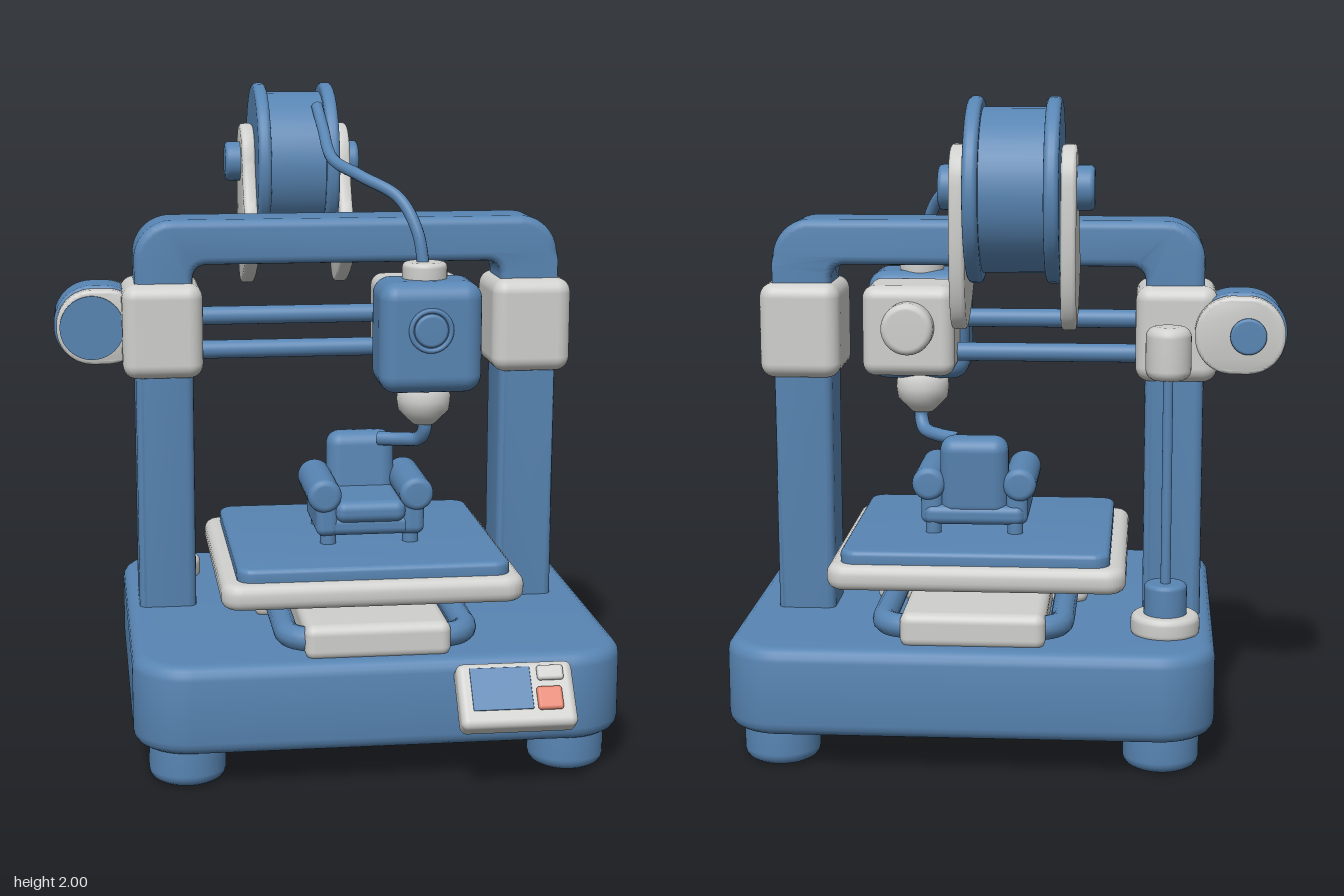
import * as THREE from 'three';
import { toCreasedNormals } from 'three/addons/utils/BufferGeometryUtils.js';
import { RoundedBoxGeometry } from 'three/addons/geometries/RoundedBoxGeometry.js';

export function createModel() {
  const root = new THREE.Group();
  root.name = 'desktopPrinter';
  const mat = (name, color) => Object.assign(new THREE.MeshStandardMaterial({ color }), { name });
  const blue = mat('blue', 0x5885b3);
  const grey = mat('lightGrey', 0xcfcfcd);
  const red = mat('coral', 0xe58672);

  const add = (name, geo, material, x = 0, y = 0, z = 0, parent = root) => {
    const m = new THREE.Mesh(geo, material);
    m.name = name;
    m.position.set(x, y, z);
    parent.add(m);
    return m;
  };
  // rounded box given by its extents on each axis
  const box = (name, material, [x0, x1], [y0, y1], [z0, z1], r, parent = root) =>
    add(name, new RoundedBoxGeometry(x1 - x0, y1 - y0, z1 - z0, 4, r), material,
      (x0 + x1) / 2, (y0 + y1) / 2, (z0 + z1) / 2, parent);
  // extrusion along z from 0 to depth with a bevel kept inside the outline
  const extrude = (shape, depth, bevel) => toCreasedNormals(new THREE.ExtrudeGeometry(shape, {
    depth: depth - 2 * bevel, bevelEnabled: true, bevelThickness: bevel, bevelSize: bevel,
    bevelOffset: -bevel, bevelSegments: 4, curveSegments: 14,
  }).translate(0, 0, bevel), 0.7);
  const roundRect = (x0, x1, y0, y1, r) => {
    const s = new THREE.Shape();
    s.absarc(x1 - r, y1 - r, r, 0, Math.PI / 2);
    s.absarc(x0 + r, y1 - r, r, Math.PI / 2, Math.PI);
    s.absarc(x0 + r, y0 + r, r, Math.PI, Math.PI * 1.5);
    s.absarc(x1 - r, y0 + r, r, Math.PI * 1.5, Math.PI * 2);
    s.closePath();
    return s;
  };
  // flat slab lying in the xz plane
  const slab = (name, material, x, [y0, y1], z, r, bevel) =>
    add(name, extrude(roundRect(x[0], x[1], -z[1], -z[0], r), y1 - y0, bevel).rotateX(-Math.PI / 2),
      material, 0, y0, 0);
  // turned solid with softened rims along y, x or z
  const disc = (name, material, r, len, pos, axis = 'y', b = 0.015, parent = root) => {
    const h = len / 2, pts = [new THREE.Vector2(0, -h)];
    for (let i = 0; i <= 4; i++) {
      const a = i / 4 * Math.PI / 2;
      pts.push(new THREE.Vector2(r - b + b * Math.sin(a), -h + b - b * Math.cos(a)));
    }
    for (let i = 0; i <= 4; i++) {
      const a = i / 4 * Math.PI / 2;
      pts.push(new THREE.Vector2(r - b + b * Math.cos(a), h - b + b * Math.sin(a)));
    }
    pts.push(new THREE.Vector2(0, h));
    const g = new THREE.LatheGeometry(pts, 40);
    if (axis === 'x') g.rotateZ(-Math.PI / 2);
    if (axis === 'z') g.rotateX(Math.PI / 2);
    return add(name, g, material, ...pos, parent);
  };
  const tube = (name, material, pts, r, closed = false, n = 60) =>
    add(name, new THREE.TubeGeometry(
      new THREE.CatmullRomCurve3(pts.map(p => new THREE.Vector3(...p)), closed), n, r, 12, closed), material);

  // base and feet
  slab('base', blue, [-0.63, 0.84], [0.11, 0.38], [-0.63, 0.67], 0.17, 0.04);
  for (const x of [-0.47, 0.68]) for (const z of [0.52, -0.465])
    disc('foot', blue, 0.115, 0.15, [x, 0.075, z], 'y', 0.035);

  // gantry: one arch with rounded shoulders
  const arch = new THREE.Shape();
  arch.moveTo(-0.59, 0.34);
  arch.lineTo(-0.41, 0.34);
  arch.lineTo(-0.41, 1.42);
  arch.quadraticCurveTo(-0.41, 1.47, -0.36, 1.47);
  arch.lineTo(0.51, 1.47);
  arch.quadraticCurveTo(0.56, 1.47, 0.56, 1.42);
  arch.lineTo(0.56, 0.34);
  arch.lineTo(0.74, 0.34);
  arch.lineTo(0.74, 1.5);
  arch.absarc(0.62, 1.49, 0.12, 0, Math.PI / 2);
  arch.absarc(-0.47, 1.49, 0.12, Math.PI / 2, Math.PI);
  arch.closePath();
  add('gantry', extrude(arch, 0.21, 0.025), blue, 0, 0, -0.17);
  for (const [x0, x1] of [[-0.63, -0.38], [0.53, 0.78]])
    box('postClamp', grey, [x0, x1], [1.12, 1.415], [-0.21, 0.085], 0.045);
  for (const y of [1.298, 1.19])
    disc('slideRod', blue, 0.029, 0.72, [-0.08, y, -0.065], 'x', 0.005);

  // bed with its sliding carriage and rails
  slab('bedFrame', grey, [-0.36, 0.56], [0.49, 0.57], [-0.375, 0.495], 0.06, 0.03);
  slab('bedPlate', blue, [-0.31, 0.52], [0.55, 0.61], [-0.345, 0.46], 0.05, 0.015);
  box('bedTrack', grey, [-0.125, 0.31], [0.37, 0.477], [-0.56, 0.62], 0.03);
  box('bedCarriage', grey, [-0.235, 0.44], [0.37, 0.5], [-0.05, 0.17], 0.03);
  const rail = roundRect(-0.17, 0.37, -0.505, 0.57, 0.09).getSpacedPoints(70).slice(0, -1);
  tube('bedRail', blue, rail.map(p => [p.x, 0.425, p.y]), 0.037, true, 140);

  // print head
  box('headMount', grey, [0.175, 0.46], [1.13, 1.41], [-0.21, 0.04], 0.04);
  disc('mountKnob', grey, 0.08, 0.1, [0.315, 1.285, -0.22], 'z', 0.02);
  box('printHead', blue, [0.15, 0.47], [1.085, 1.43], [0, 0.237], 0.055);
  add('lensRing', new THREE.TorusGeometry(0.062, 0.008, 10, 40), blue, 0.305, 1.285, 0.237);
  disc('lens', blue, 0.052, 0.03, [0.305, 1.285, 0.232], 'z', 0.01);
  disc('headCollar', grey, 0.07, 0.07, [0.305, 1.445, 0.1], 'y', 0.015);
  add('nozzle', new THREE.LatheGeometry([[0, 0.965], [0.035, 0.97], [0.055, 0.99], [0.08, 1.015],
    [0.085, 1.05], [0.08, 1.1], [0, 1.1]].map(p => new THREE.Vector2(...p)), 32), grey, 0.305, 0, 0.1);
  tube('extrudedStrand', blue, [[0.305, 1.0, 0.1], [0.31, 0.95, 0.095], [0.295, 0.915, 0.07],
    [0.25, 0.905, 0.03], [0.18, 0.9, -0.01]], 0.022);

  // printed armchair
  const chair = new THREE.Group();
  chair.name = 'armchair';
  chair.position.set(0.125, 0, 0);
  root.add(chair);
  box('chairBase', blue, [-0.16, 0.16], [0.637, 0.7], [-0.1, 0.205], 0.025, chair);
  box('chairCushion', blue, [-0.11, 0.11], [0.68, 0.75], [-0.05, 0.225], 0.03, chair);
  box('chairBack', blue, [-0.108, 0.108], [0.66, 0.92], [-0.105, 0.0], 0.045, chair).rotation.x = -0.08;
  for (const s of [-1, 1]) {
    box('chairArm', blue, s < 0 ? [-0.17, -0.1] : [0.1, 0.17], [0.637, 0.79], [-0.09, 0.21], 0.025, chair);
    disc('chairArmRoll', blue, 0.053, 0.32, [s * 0.144, 0.768, 0.06], 'z', 0.02, chair);
    for (const z of [-0.07, 0.17])
      disc('chairLeg', blue, 0.025, 0.05, [s * 0.13, 0.625, z], 'y', 0.008, chair);
  }

  // side motor
  const motor = (name, material, z, depth, inset) => add(name, extrude(
    roundRect(-0.84 + inset, -0.56, 1.15 + inset, 1.4 - inset, 0.12 - inset), depth, 0.012), material, 0, 0, z);
  motor('motorBody', blue, -0.205, 0.15, 0);
  motor('motorBackPlate', grey, -0.262, 0.06, 0.008);
  motor('motorFrontPlate', grey, -0.06, 0.055, 0.008);
  add('motorFrontFace', new THREE.CylinderGeometry(0.1, 0.1, 0.008, 40).rotateX(Math.PI / 2), blue, -0.722, 1.275, -0.003);
  disc('motorCap', blue, 0.055, 0.03, [-0.72, 1.275, -0.265], 'z', 0.008);

  // lead screw at the back
  disc('screwFlange', grey, 0.105, 0.07, [-0.48, 0.405, -0.355], 'y', 0.02);
  disc('screwNut', blue, 0.065, 0.12, [-0.48, 0.475, -0.36], 'y', 0.015);
  disc('leadScrew', blue, 0.015, 0.75, [-0.48, 0.84, -0.365], 'y', 0.003);
  disc('screwHead', grey, 0.068, 0.16, [-0.48, 1.238, -0.362], 'y', 0.03);
  box('screwArm', grey, [-0.525, -0.435], [1.19, 1.29], [-0.34, -0.18], 0.02);

  // filament spool on its two side plates
  const cx = -0.037, cy = 1.735, cz = -0.565;
  disc('spoolDrum', blue, 0.235, 0.2, [cx, cy, cz], 'x', 0.01);
  for (const x of [-0.15, 0.073]) disc('spoolFlange', blue, 0.265, 0.043, [x, cy, cz], 'x', 0.015);
  const plate = new THREE.Shape();
  plate.moveTo(0.28, 1.495);
  plate.quadraticCurveTo(0.42, 1.63, 0.45, 1.78);
  plate.bezierCurveTo(0.48, 1.89, 0.65, 1.9, 0.675, 1.78);
  plate.bezierCurveTo(0.69, 1.65, 0.69, 1.47, 0.635, 1.38);
  plate.quadraticCurveTo(0.59, 1.31, 0.5, 1.345);
  plate.quadraticCurveTo(0.37, 1.39, 0.28, 1.495);
  for (const x of [-0.215, 0.1])
    add('spoolPlate', extrude(plate, 0.045, 0.012).rotateY(Math.PI / 2), grey, x, 0, 0);
  for (const x of [-0.23, 0.147]) disc('spoolAxleCap', blue, 0.065, 0.07, [x, 1.742, -0.558], 'x', 0.015);
  tube('filament', blue, [[0.03, 1.93, -0.42], [0.04, 1.86, -0.33], [0.055, 1.775, -0.2], [0.13, 1.73, -0.07],
    [0.235, 1.67, 0.025], [0.285, 1.57, 0.08], [0.305, 1.44, 0.1]], 0.019);

  // tilted control panel
  const panel = new THREE.Group();
  panel.name = 'controlPanel';
  panel.position.set(0.478, 0.281, 0.738);
  panel.rotation.x = -0.68;
  root.add(panel);
  box('panelBody', grey, [-0.172, 0.172], [-0.1, 0.1], [-0.04, 0.035], 0.022, panel);
  box('screen', blue, [-0.135, 0.043], [-0.05, 0.08], [0.031, 0.039], 0.003, panel);
  box('panelButton', grey, [0.062, 0.14], [0.035, 0.08], [0.03, 0.05], 0.009, panel);
  box('stopButton', red, [0.055, 0.13], [-0.055, 0.015], [0.03, 0.05], 0.009, panel);
  return root;
}
